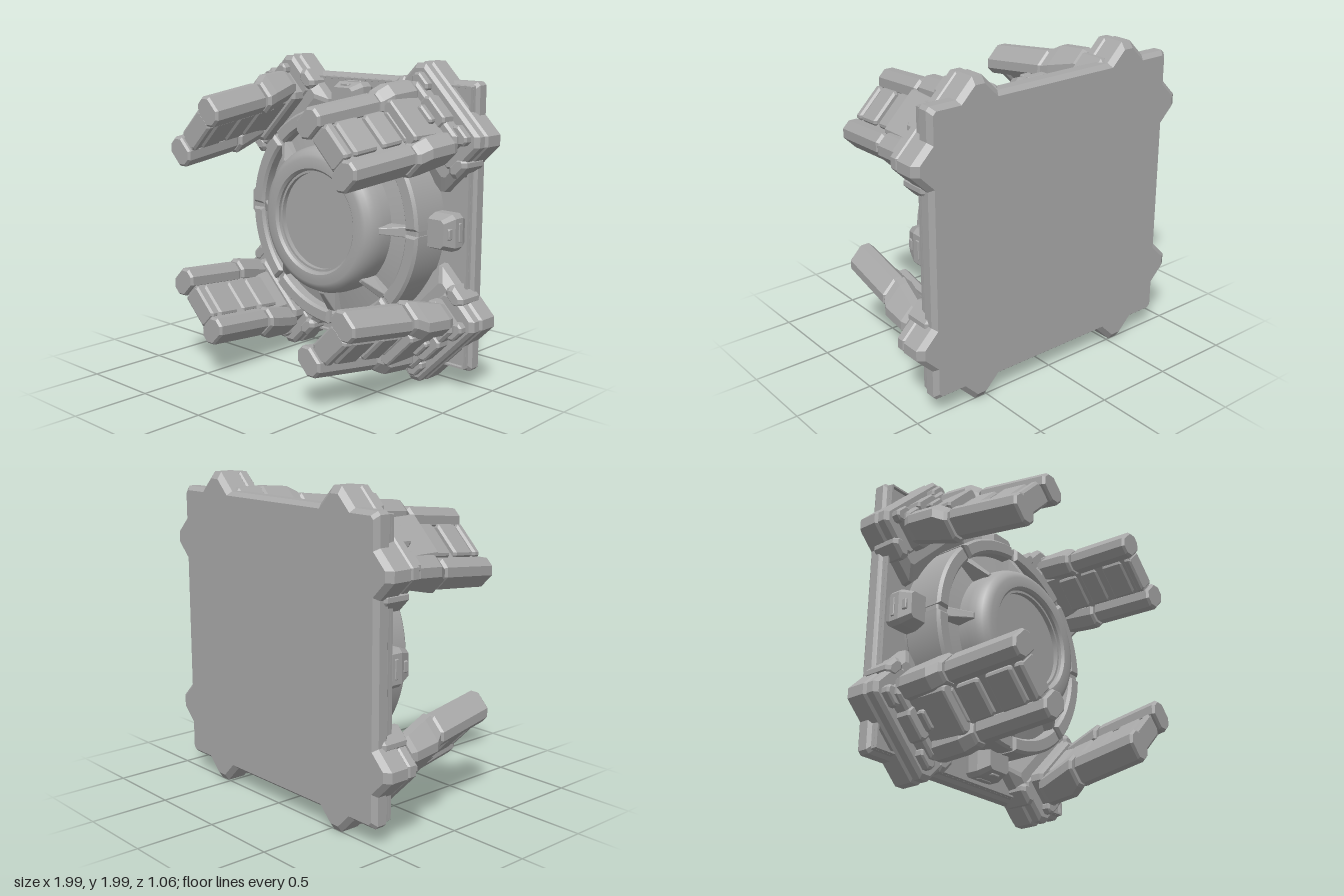
import * as THREE from 'three';
import { toCreasedNormals } from 'three/addons/utils/BufferGeometryUtils.js';

// Chamfered rectangle, counter-clockwise: x from r0 to r1, y from t0 to t1
const chamferLoop = (r0, r1, t0, t1, c) => [
  [r0 + c, t0], [r1 - c, t0], [r1, t0 + c], [r1, t1 - c],
  [r1 - c, t1], [r0 + c, t1], [r0, t1 - c], [r0, t0 + c],
];

// Solid through sections [z, r0, r1, t0, t1, chamfer], ordered by rising z
function loft(sections) {
  const loops = sections.map(([z, ...s]) => chamferLoop(...s).map(([x, y]) => [x, y, z]));
  const pos = [];
  const tri = (a, b, c) => pos.push(...a, ...b, ...c);
  for (let k = 0; k < loops.length - 1; k++) {
    const a = loops[k], b = loops[k + 1];
    for (let i = 0; i < 8; i++) {
      const j = (i + 1) % 8;
      tri(a[i], a[j], b[j]);
      tri(a[i], b[j], b[i]);
    }
  }
  const first = loops[0], last = loops[loops.length - 1];
  for (let i = 1; i < 7; i++) {
    tri(first[0], first[i + 1], first[i]);
    tri(last[0], last[i], last[i + 1]);
  }
  const g = new THREE.BufferGeometry();
  g.setAttribute('position', new THREE.Float32BufferAttribute(pos, 3));
  g.computeVertexNormals();
  return g;
}

// Block with small bevelled front and back edges
const block = (r0, r1, t0, t1, z0, z1, c = 0.015, b = 0.01) => loft([
  [z0, r0 + b, r1 - b, t0 + b, t1 - b, c],
  [z0 + b, r0, r1, t0, t1, c],
  [z1 - b, r0, r1, t0, t1, c],
  [z1, r0 + b, r1 - b, t0 + b, t1 - b, c],
]);

export function createModel() {
  const grey = new THREE.MeshStandardMaterial({ color: 0xa8a8a8 });
  grey.name = 'plain grey';
  const model = new THREE.Group();
  model.name = 'clampDevice';
  const body = new THREE.Group();
  body.name = 'body';
  body.position.y = 1;
  model.add(body);
  const add = (parent, name, geometry) => {
    const mesh = new THREE.Mesh(geometry, grey);
    mesh.name = name;
    parent.add(mesh);
    return mesh;
  };
  const square = (z, h) => [z, -h, h, -h, h, 0.02];

  // Square back plate with a stepped rim
  add(body, 'backPlate', loft([
    square(-0.53, 0.86), square(-0.5, 0.885), square(-0.44, 0.885),
    square(-0.42, 0.865), square(-0.4, 0.865),
  ]));
  for (let k = 0; k < 4; k++) {
    const rim = add(body, 'plateRim', loft([
      [-0.42, 0.845, 0.867, -0.867, 0.867, 0.005],
      [-0.38, 0.85, 0.862, -0.862, 0.862, 0.005],
    ]));
    rim.rotation.z = k * Math.PI / 2;
  }

  // Round drum, trough and domed collar around a shallow well
  const profile = [
    [0.68, -0.41], [0.68, -0.2], [0.6, -0.18], [0.47, -0.15], [0.47, -0.08],
    [0.463, -0.03], [0.445, 0.01], [0.42, 0.035], [0.395, 0.045],
    [0.335, 0.045], [0.32, 0.03], [0.32, 0.01], [0.305, 0.01], [0.305, -0.02], [0, -0.02],
  ].map(([x, y]) => new THREE.Vector2(x, y));
  const drum = new THREE.LatheGeometry(profile, 96);
  drum.rotateX(Math.PI / 2);
  add(body, 'drumAndCollar', toCreasedNormals(drum, 0.5));

  // Eight raised ring segments with ribs in the gaps between them
  const gap = 0.045, step = Math.PI / 4;
  const sector = new THREE.Shape();
  sector.absarc(0, 0, 0.685, gap, step - gap, false);
  sector.absarc(0, 0, 0.62, step - gap, gap, true);
  const segment = toCreasedNormals(new THREE.ExtrudeGeometry(sector, {
    depth: 0.24, curveSegments: 16, bevelEnabled: true,
    bevelThickness: 0.018, bevelSize: 0.016, bevelSegments: 1,
  }), 0.4);
  segment.translate(0, 0, -0.36);
  for (let k = 0; k < 8; k++) {
    const w = k % 2 ? 0.024 : 0.032;
    const bay = new THREE.Group();
    bay.name = 'ringBay';
    bay.rotation.z = k * step;
    body.add(bay);
    add(bay, 'ringSegment', segment);
    add(bay, 'ringRib', block(0.6, 0.695, -w, w, -0.38, k % 2 ? -0.135 : -0.12, 0.005));
    add(bay, 'troughRib', loft([
      [-0.2, 0.42, 0.62, -w, w, 0.004],
      [-0.125, 0.42, 0.61, -w, w, 0.004],
      [-0.03, 0.42, 0.475, -w * 0.6, w * 0.6, 0.004],
    ]));
  }

  // Latch blocks at the middle of each edge
  for (let k = 0; k < 4; k++) {
    const latch = new THREE.Group();
    latch.name = 'edgeLatch';
    latch.rotation.z = k * Math.PI / 2;
    body.add(latch);
    add(latch, 'latchBody', loft([
      [-0.4, 0.66, 0.83, -0.09, 0.09, 0.02],
      [-0.36, 0.66, 0.845, -0.113, 0.113, 0.025],
      [-0.29, 0.66, 0.845, -0.113, 0.113, 0.025],
      [-0.21, 0.68, 0.815, -0.085, 0.085, 0.02],
    ]));
    add(latch, 'latchBar', block(0.835, 0.852, -0.06, 0.06, -0.345, -0.32, 0.004, 0.004));
    add(latch, 'latchCatch', block(0.815, 0.84, -0.035, 0.035, -0.27, -0.235, 0.006, 0.005));
  }

  // Corner lobes, each carrying an inward-leaning claw
  for (let k = 0; k < 4; k++) {
    const corner = new THREE.Group();
    corner.name = 'cornerClaw';
    corner.rotation.z = Math.PI / 4 + k * Math.PI / 2;
    body.add(corner);

    // Lobe base, groove and cap
    add(corner, 'lobeBase', loft([
      [-0.53, 0.72, 1.085, -0.305, 0.305, 0.045],
      [-0.5, 0.72, 1.115, -0.335, 0.335, 0.045],
      [-0.38, 0.72, 1.115, -0.335, 0.335, 0.045],
      [-0.365, 0.73, 1.1, -0.32, 0.32, 0.045],
    ]));
    add(corner, 'lobeCap', loft([
      [-0.38, 0.8, 1.09, -0.31, 0.31, 0.045],
      [-0.355, 0.8, 1.11, -0.33, 0.33, 0.045],
      [-0.31, 0.8, 1.11, -0.33, 0.33, 0.045],
      [-0.29, 0.82, 1.09, -0.31, 0.31, 0.045],
    ]));
    add(corner, 'footPlate', loft([
      [-0.41, 0.64, 0.9, -0.35, 0.35, 0.02],
      [-0.34, 0.65, 0.9, -0.345, 0.345, 0.02],
      [-0.3, 0.74, 0.9, -0.3, 0.3, 0.02],
    ]));

    // Bracket, with a small piston box on the outside
    add(corner, 'bracket', block(0.8, 1.04, -0.24, 0.24, -0.31, -0.21, 0.03, 0.015));
    add(corner, 'bracketCore', block(0.83, 0.99, -0.15, 0.15, -0.25, 0.04));
    add(corner, 'pistonBase', block(0.96, 1.06, -0.1, 0.1, -0.3, -0.2, 0.02));
    add(corner, 'pistonBox', block(0.95, 1.02, -0.065, 0.065, -0.19, -0.14, 0.01));

    for (const s of [-1, 1]) {
      const span = (a, b) => (s > 0 ? [a, b] : [-b, -a]);
      add(corner, 'lobeClamp', block(0.8, 0.94, ...span(0.27, 0.36), -0.48, -0.285, 0.02, 0.02));
      add(corner, 'lobeStud', block(1.0, 1.075, ...span(0.14, 0.27), -0.31, -0.24, 0.02));
      // Thick lower rail
      add(corner, 'lowerRail', loft([
        [-0.24, 0.84, 1.01, ...span(0.14, 0.27), 0.035],
        [-0.2, 0.83, 1.02, ...span(0.12, 0.28), 0.04],
        [-0.02, 0.77, 1.0, ...span(0.12, 0.28), 0.04],
        [0.04, 0.75, 0.955, ...span(0.12, 0.275), 0.04],
        [0.055, 0.765, 0.94, ...span(0.13, 0.26), 0.035],
      ]));
      // Slimmer tip rail
      add(corner, 'tipRail', loft([
        [0.065, 0.77, 0.935, ...span(0.13, 0.25), 0.035],
        [0.08, 0.755, 0.95, ...span(0.12, 0.262), 0.04],
        [0.515, 0.688, 0.882, ...span(0.12, 0.26), 0.04],
        [0.53, 0.7, 0.87, ...span(0.13, 0.248), 0.035],
      ]));
    }

    // Panels between the rails
    add(corner, 'clawCore', loft([
      [0.0, 0.81, 0.91, -0.13, 0.13, 0.005],
      [0.5, 0.735, 0.835, -0.13, 0.13, 0.005],
    ]));
    for (const [z0, z1] of [[-0.12, 0.045], [0.075, 0.215], [0.265, 0.43], [0.45, 0.505]]) {
      const r = (z) => 0.86 - 0.15 * (z - 0.07);
      const at = (z, h, t) => [z, r(z) - h, r(z) + h, -t, t, 0.012];
      add(corner, 'clawPanel', loft([
        at(z0, 0.06, 0.105), at(z0 + 0.012, 0.075, 0.117),
        at(z1 - 0.012, 0.075, 0.117), at(z1, 0.06, 0.105),
      ]));
    }
  }
  return model;
}
